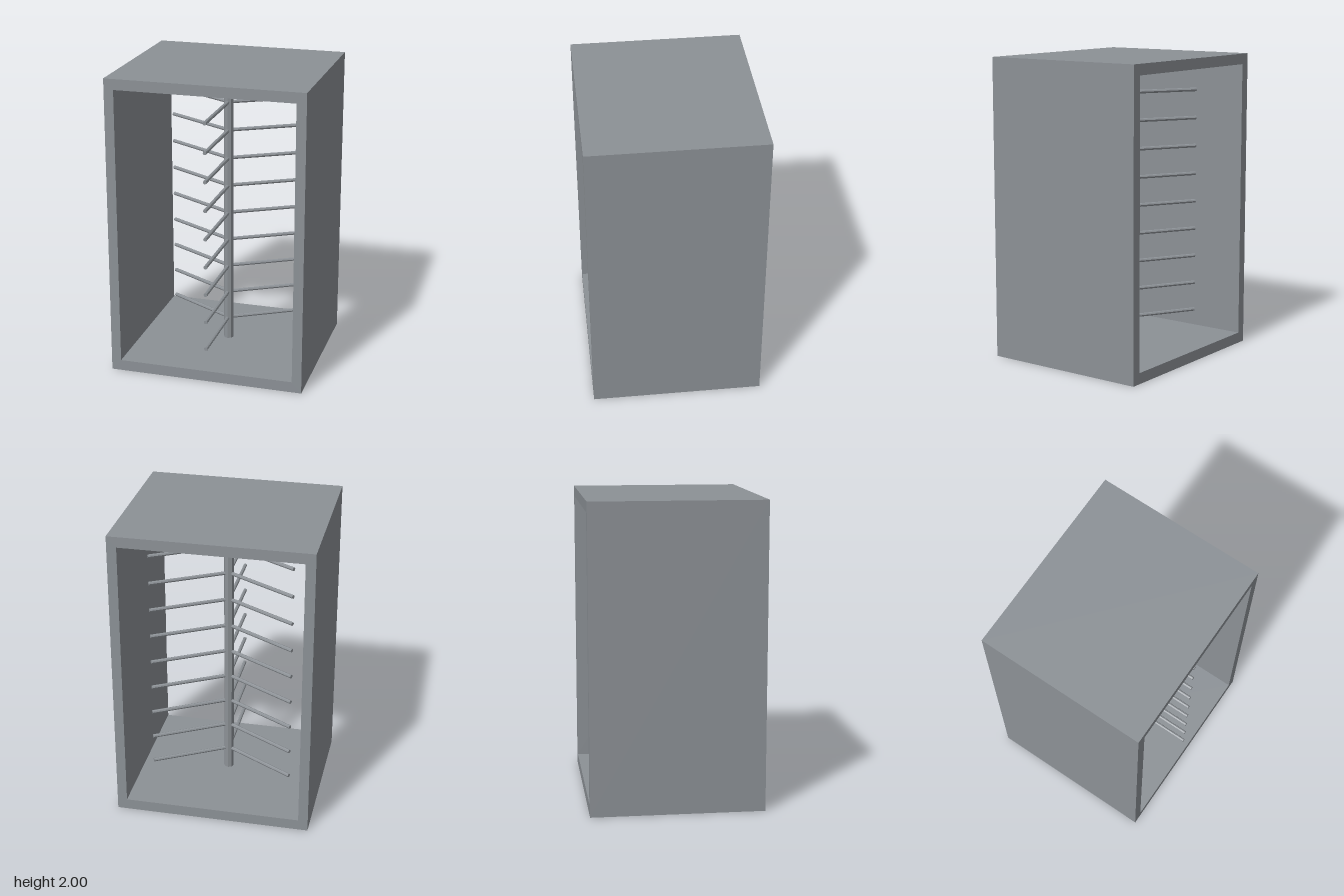
import * as THREE from 'three';

export function createModel() {
  const model = new THREE.Group();
  const grey = new THREE.MeshStandardMaterial({ color: 0x8c9196, flatShading: true });
  grey.name = 'steel grey';

  // Rectangular housing, open at front and back
  const W = 0.65, D = 1.13, H = 2;
  const outline = new THREE.Shape([
    new THREE.Vector2(-W, 0), new THREE.Vector2(W, 0),
    new THREE.Vector2(W, H), new THREE.Vector2(-W, H),
  ]);
  outline.holes.push(new THREE.Path([
    new THREE.Vector2(-0.586, 0.072), new THREE.Vector2(-0.586, 1.93),
    new THREE.Vector2(0.586, 1.93), new THREE.Vector2(0.586, 0.072),
  ]));
  const frameGeo = new THREE.ExtrudeGeometry(outline, { depth: D, bevelEnabled: false });
  frameGeo.translate(0, 0, -D / 2);
  const frame = new THREE.Mesh(frameGeo, grey);
  frame.name = 'frame';
  model.add(frame);

  // Central post, standing on the floor and just short of the ceiling
  const bottom = 0.072, top = 1.918;
  const post = new THREE.Mesh(new THREE.CylinderGeometry(0.033, 0.033, top - bottom, 8), grey);
  post.name = 'post';
  post.position.y = (bottom + top) / 2;
  model.add(post);

  // Nine tiers of three arms, 120 degrees apart, one pointing to the front
  const length = 0.543;
  const armGeo = new THREE.CylinderGeometry(0.0125, 0.0125, length, 8);
  armGeo.rotateX(Math.PI / 2).translate(0, 0, length / 2);
  for (let tier = 0; tier < 9; tier++) {
    const arms = new THREE.Group();
    arms.name = `armTier${tier + 1}`;
    arms.position.y = 0.22 + tier * 0.1917;
    for (let i = 0; i < 3; i++) {
      const arm = new THREE.Mesh(armGeo, grey);
      arm.name = 'arm';
      arm.rotation.y = (i * Math.PI * 2) / 3;
      arms.add(arm);
    }
    model.add(arms);
  }
  return model;
}
